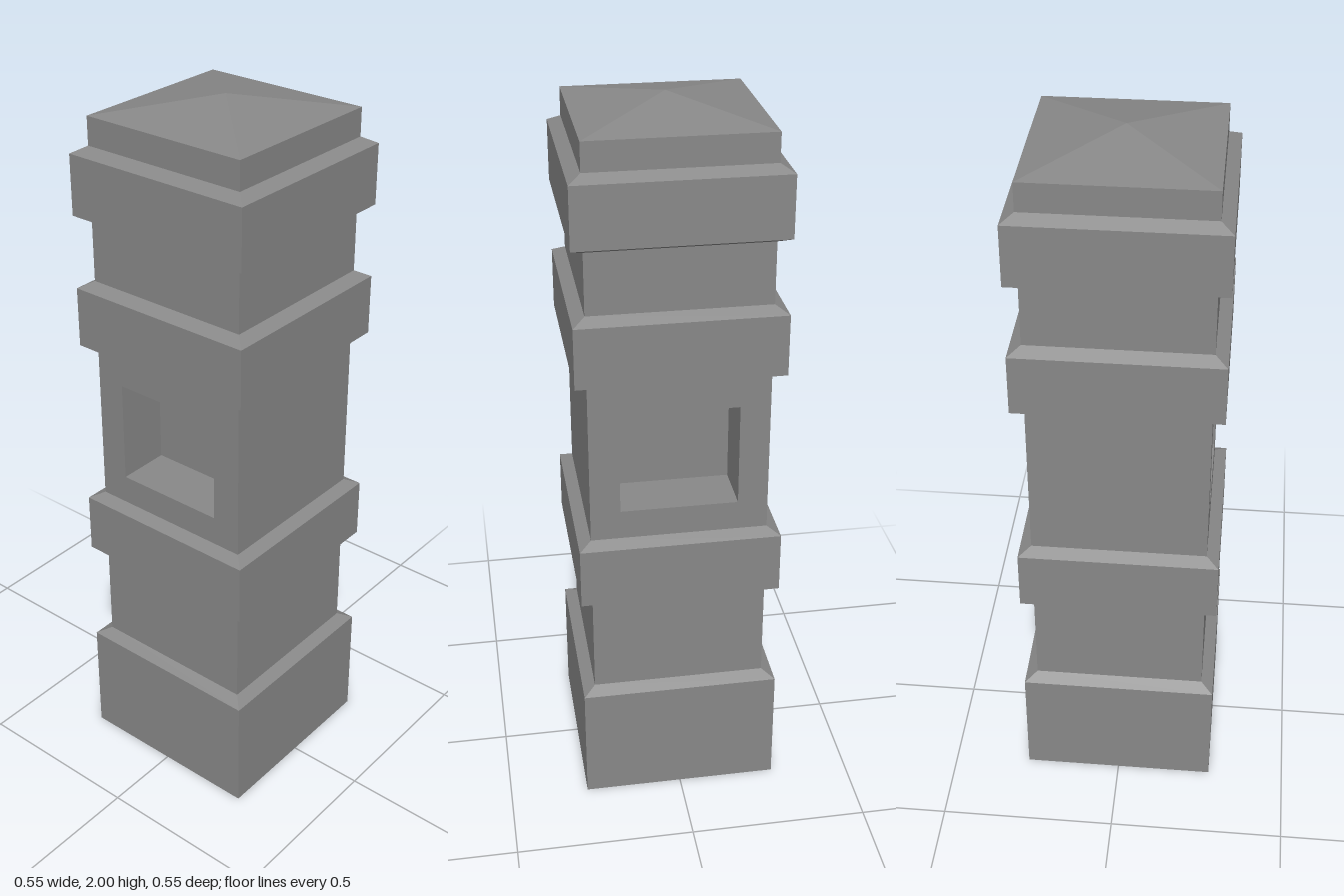
import * as THREE from 'three';

const BODY = 0.243, BAND = 0.277;
const SHAFT_LOW = 0.847, SHAFT_HIGH = 1.303;
const material = new THREE.MeshStandardMaterial({ color: 0x888888, side: THREE.DoubleSide });

function addMesh(parent, name, geometry) {
  const mesh = new THREE.Mesh(geometry, material);
  mesh.name = name;
  parent.add(mesh);
  return mesh;
}

// Square shell swept through [half width, height] pairs, with flat faces
function squareShell(profile) {
  const points = profile.map(([half, y]) => new THREE.Vector2(half * Math.SQRT2, y));
  const geometry = new THREE.LatheGeometry(points, 4, Math.PI / 4).toNonIndexed();
  geometry.computeVertexNormals();
  return geometry;
}

// Band with a chamfer below and above
const band = (y0, y1, y2, y3) => [[BODY, y0], [BAND, y1], [BAND, y2], [BODY, y3]];

// Shaft face with a square niche, facing +z
function nicheFace() {
  const face = new THREE.Group();
  const half = 0.161, low = 0.93, high = 1.22, depth = 0.15;

  const shape = new THREE.Shape([
    new THREE.Vector2(-BODY, SHAFT_LOW), new THREE.Vector2(BODY, SHAFT_LOW),
    new THREE.Vector2(BODY, SHAFT_HIGH), new THREE.Vector2(-BODY, SHAFT_HIGH)]);
  shape.holes.push(new THREE.Path([
    new THREE.Vector2(-half, low), new THREE.Vector2(-half, high),
    new THREE.Vector2(half, high), new THREE.Vector2(half, low)]));
  addMesh(face, 'nicheFrame', new THREE.ShapeGeometry(shape)).position.z = BODY;

  // Box turned inside out by mirroring, with its front face left out
  const box = new THREE.BoxGeometry(2 * half, high - low, depth);
  box.setIndex(Array.from(box.index.array).slice(0, 30));
  box.clearGroups();
  box.scale(1, 1, -1);
  box.computeVertexNormals();
  addMesh(face, 'nicheRecess', box).position.set(0, (low + high) / 2, BODY - depth / 2);
  return face;
}

export function createModel() {
  const model = new THREE.Group();
  model.name = 'stonePillar';

  // Hollow base, open underneath, up to the lower band
  addMesh(model, 'lowerPillar', squareShell([
    [BAND, 0], [BAND, 0.34], [BODY, 0.358],
    ...band(0.642, 0.658, 0.83, SHAFT_LOW)]));

  // Two upper bands and the pyramid cap
  addMesh(model, 'upperPillar', squareShell([
    ...band(SHAFT_HIGH, 1.32, 1.488, 1.507),
    ...band(1.676, 1.692, 1.858, 1.877),
    [BODY, 1.954], [0, 2]]));

  // Middle shaft: niches front and back, plain sides
  for (const [i, side] of ['front', 'back'].entries()) {
    const face = nicheFace();
    face.name = side + 'Niche';
    face.rotation.y = i * Math.PI;
    model.add(face);
  }
  for (const [name, s] of [['leftShaftSide', 1], ['rightShaftSide', -1]]) {
    const plane = new THREE.PlaneGeometry(2 * BODY, SHAFT_HIGH - SHAFT_LOW);
    const mesh = addMesh(model, name, plane);
    mesh.rotation.y = s * Math.PI / 2;
    mesh.position.set(s * BODY, (SHAFT_LOW + SHAFT_HIGH) / 2, 0);
  }
  return model;
}
